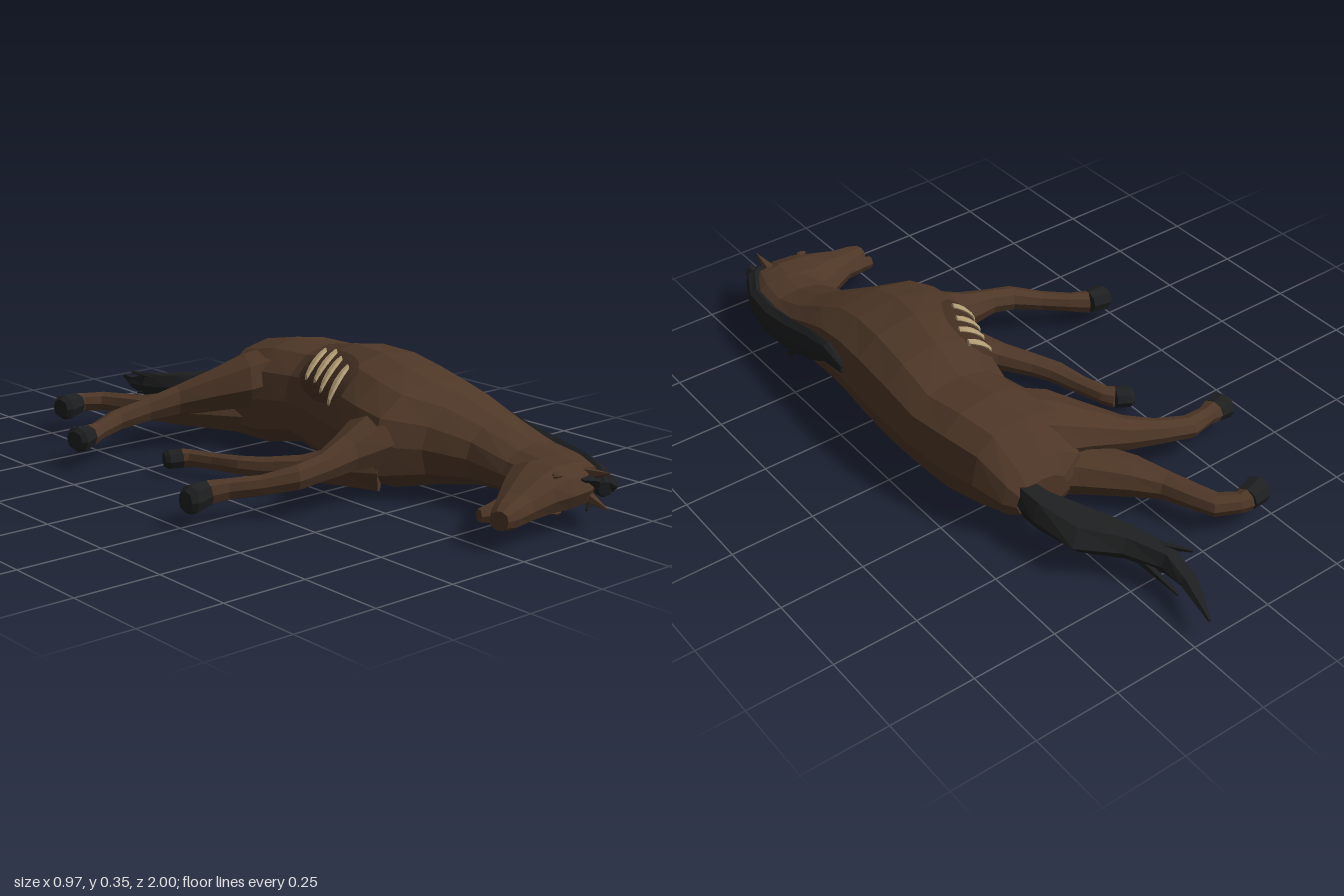
import * as THREE from 'three';

const mat = (name, color, side = THREE.FrontSide) => {
  const m = new THREE.MeshStandardMaterial({ color, flatShading: true, side });
  m.name = name;
  return m;
};
const squash = (v, p) => Math.sign(v) * Math.abs(v) ** p;

// Unit cross-sections: a slightly boxy round, and one leaning over for the slumped trunk
const round = (t) => [squash(Math.cos(t), 0.9), squash(Math.sin(t), 0.9)];
const slumped = (t) => {
  const c = Math.cos(t), s = Math.sin(t), p = c * s > 0 ? 0.75 : 1;
  return [squash(c, p), squash(s, p)];
};

// Skin through rings [x, y, z, half width, half height]; rings face along the path or a fixed direction
function loft(rows, sides = 8, section = round, dir = null) {
  const pos = [], idx = [], n = rows.length;
  rows.forEach(([x, y, z, a, b], i) => {
    const p = rows[Math.max(i - 1, 0)], q = rows[Math.min(i + 1, n - 1)];
    const [dx, dz] = dir || [q[0] - p[0], q[2] - p[2]];
    const len = Math.hypot(dx, dz) || 1;
    for (let j = 0; j < sides; j++) {
      const [u, v] = section((j / sides) * Math.PI * 2);
      pos.push(x + (dz / len) * u * a, y + v * b, z - (dx / len) * u * a);
    }
  });
  for (let i = 0; i < n - 1; i++) for (let j = 0; j < sides; j++) {
    const k = (j + 1) % sides, A = i * sides, B = A + sides;
    idx.push(A + j, A + k, B + k, A + j, B + k, B + j);
  }
  const s = n * sides, last = (n - 1) * sides;
  pos.push(...rows[0].slice(0, 3), ...rows[n - 1].slice(0, 3));
  for (let j = 0; j < sides; j++) {
    const k = (j + 1) % sides;
    idx.push(s, k, j, s + 1, last + j, last + k);
  }
  const g = new THREE.BufferGeometry();
  g.setAttribute('position', new THREE.Float32BufferAttribute(pos, 3));
  g.setIndex(idx);
  g.computeVertexNormals();
  return g;
}

// Torso and neck outline: z, x min, x max, y min, y max
const trunk = [
  [-0.42, 0.20, 0.37, 0.07, 0.18],
  [-0.39, 0.12, 0.395, 0.04, 0.22],
  [-0.31, 0.08, 0.435, 0.012, 0.31],
  [-0.20, 0.10, 0.465, 0.004, 0.33],
  [-0.08, 0.13, 0.482, 0.028, 0.325],
  [0.05, 0.10, 0.482, 0.012, 0.352],
  [0.20, 0.05, 0.475, 0.01, 0.355],
  [0.32, 0.02, 0.465, 0.018, 0.338],
  [0.42, 0.02, 0.46, 0.022, 0.315],
  [0.50, 0.13, 0.455, 0.035, 0.28],
  [0.60, 0.20, 0.455, 0.05, 0.23],
  [0.72, 0.215, 0.455, 0.055, 0.187],
  [0.82, 0.22, 0.435, 0.055, 0.18],
  [0.91, 0.27, 0.385, 0.07, 0.165],
].map(([z, x0, x1, y0, y1]) => [(x0 + x1) / 2, (y0 + y1) / 2, z, (x1 - x0) / 2, (y1 - y0) / 2]);

// Point on the trunk at z and angle, lifted outwards
function onTrunk(z, deg, lift) {
  let i = 0;
  while (i < trunk.length - 2 && trunk[i + 1][2] < z) i++;
  const f = (z - trunk[i][2]) / (trunk[i + 1][2] - trunk[i][2]);
  const [x, y, , a, b] = trunk[i].map((v, k) => v + (trunk[i + 1][k] - v) * f);
  const [u, v] = slumped(THREE.MathUtils.degToRad(deg));
  return [x + (a + lift) * u, y + (b + lift) * v, z];
}

export function createModel() {
  const group = new THREE.Group();
  const coat = mat('brown coat', 0x4e3727);
  const hair = mat('black hair and hooves', 0x1e1f20);
  const bone = mat('pale bone', 0xb59f77);
  const flesh = mat('dark flesh', 0x432e21, THREE.DoubleSide);
  const add = (name, geo, m) => {
    const mesh = new THREE.Mesh(geo, m);
    mesh.name = name;
    group.add(mesh);
    return mesh;
  };

  add('body', loft(trunk, 12, slumped, [0, 1]), coat);

  // Head, from the poll to the muzzle
  add('head', loft([
    [0.38, 0.12, 0.86, 0.06, 0.045],
    [0.31, 0.118, 0.85, 0.105, 0.062],
    [0.23, 0.115, 0.842, 0.113, 0.064],
    [0.16, 0.108, 0.862, 0.083, 0.055],
    [0.09, 0.095, 0.88, 0.057, 0.042],
    [0.04, 0.088, 0.897, 0.042, 0.037],
    [0.005, 0.085, 0.908, 0.026, 0.026],
  ], 10), coat);
  add('lowerLip', loft([
    [0.10, 0.09, 0.845, 0.028, 0.03],
    [0.04, 0.085, 0.85, 0.022, 0.026],
    [0.0, 0.084, 0.843, 0.013, 0.018],
  ], 6), coat);
  for (const s of [-1, 1]) {
    const ear = add('ear', new THREE.ConeGeometry(0.02, 0.085, 5), coat);
    ear.position.set(0.325, 0.118 + s * 0.04, 0.955);
    ear.rotation.set(Math.PI / 2 - s * 0.25, 0, 0);
    const brow = add('brow', new THREE.SphereGeometry(0.016, 6, 4), coat);
    brow.scale.set(1.2, 0.5, 0.7);
    brow.position.set(0.215, 0.115 + s * 0.05, 0.91);
  }

  // Legs: the last two rings make the hoof
  const legs = {
    upperFrontLeg: [
      [0.17, 0.20, 0.36, 0.11, 0.10], [0.06, 0.17, 0.37, 0.085, 0.078],
      [-0.04, 0.148, 0.375, 0.054, 0.052], [-0.13, 0.13, 0.385, 0.037, 0.038],
      [-0.21, 0.115, 0.375, 0.037, 0.035], [-0.29, 0.098, 0.325, 0.028, 0.029],
      [-0.36, 0.09, 0.275, 0.027, 0.03], [-0.412, 0.083, 0.25, 0.033, 0.035],
      [-0.468, 0.076, 0.252, 0.039, 0.041]],
    lowerFrontLeg: [
      [0.10, 0.09, 0.37, 0.085, 0.075], [0.03, 0.085, 0.29, 0.06, 0.06],
      [-0.04, 0.07, 0.20, 0.042, 0.038], [-0.10, 0.062, 0.11, 0.035, 0.031],
      [-0.13, 0.06, 0.05, 0.034, 0.028], [-0.155, 0.055, -0.04, 0.026, 0.025],
      [-0.18, 0.053, -0.115, 0.028, 0.026], [-0.20, 0.051, -0.14, 0.033, 0.029],
      [-0.237, 0.05, -0.157, 0.037, 0.028]],
    upperHindLeg: [
      [0.24, 0.225, -0.23, 0.11, 0.09], [0.14, 0.20, -0.275, 0.11, 0.085],
      [0.05, 0.175, -0.325, 0.075, 0.065], [-0.04, 0.15, -0.375, 0.047, 0.047],
      [-0.13, 0.13, -0.405, 0.036, 0.036], [-0.23, 0.11, -0.425, 0.035, 0.031],
      [-0.31, 0.095, -0.405, 0.027, 0.027], [-0.35, 0.09, -0.395, 0.036, 0.032],
      [-0.392, 0.087, -0.388, 0.044, 0.038]],
    lowerHindLeg: [
      [0.20, 0.10, -0.28, 0.10, 0.08], [0.11, 0.10, -0.37, 0.082, 0.066],
      [0.02, 0.095, -0.48, 0.06, 0.052], [-0.03, 0.09, -0.56, 0.039, 0.038],
      [-0.06, 0.09, -0.64, 0.036, 0.033], [-0.085, 0.09, -0.70, 0.036, 0.03],
      [-0.14, 0.09, -0.732, 0.029, 0.028], [-0.165, 0.09, -0.732, 0.035, 0.032],
      [-0.22, 0.088, -0.72, 0.041, 0.04]],
  };
  for (const [name, rows] of Object.entries(legs)) {
    add(name, loft(rows.slice(0, -1), 8), coat);
    const [top, rim] = rows.slice(-2);
    const sole = rim.map((v, k) => (k < 3 ? v + (v - top[k]) * 0.3 : v * 0.72));
    add(name + 'Hoof', loft([top, rim, sole], 8), hair);
  }

  // Tail with loose ends
  add('tail', loft([
    [0.335, 0.135, -0.38, 0.035, 0.052], [0.32, 0.125, -0.47, 0.05, 0.053],
    [0.27, 0.108, -0.58, 0.08, 0.047], [0.20, 0.10, -0.68, 0.05, 0.042],
    [0.155, 0.09, -0.79, 0.035, 0.038], [0.16, 0.08, -0.87, 0.026, 0.02],
    [0.205, 0.07, -1.0, 0.004, 0.005],
  ], 6), hair);
  for (const [x, y, z] of [[0.115, 0.13, -0.83], [0.185, 0.04, -0.86], [0.13, 0.06, -0.82]]) {
    add('tailLock', loft([[0.21, 0.10, -0.65, 0.02, 0.025], [x, y, z, 0.004, 0.004]], 5), hair);
  }

  // Mane along the crest, with pointed locks hanging to the ground side
  add('mane', loft([
    [0.46, 0.21, 0.27, 0.012, 0.015], [0.456, 0.215, 0.36, 0.02, 0.036],
    [0.45, 0.175, 0.47, 0.023, 0.056], [0.448, 0.143, 0.58, 0.027, 0.061],
    [0.446, 0.128, 0.70, 0.028, 0.053], [0.428, 0.12, 0.82, 0.026, 0.048],
    [0.375, 0.118, 0.92, 0.03, 0.042], [0.335, 0.118, 0.97, 0.018, 0.02],
  ], 8), hair);
  for (const [x, y, z, tx, ty, tz] of [
    [0.44, 0.14, 0.55, 0.45, 0.06, 0.60], [0.43, 0.12, 0.70, 0.40, 0.05, 0.75],
    [0.38, 0.12, 0.90, 0.30, 0.06, 0.94], [0.37, 0.12, 0.92, 0.27, 0.15, 0.945],
    [0.36, 0.12, 0.93, 0.345, 0.13, 1.0],
  ]) {
    add('maneLock', loft([[x, y, z, 0.03, 0.03],
      [(x + tx) / 2 + 0.01, (y + ty) / 2, (z + tz) / 2, 0.022, 0.022],
      [tx, ty, tz, 0.003, 0.003]], 5), hair);
  }

  // Open flank: a thin dark patch with exposed ribs
  const pos = [], idx = [], steps = 8;
  for (let i = 0; i <= steps; i++) {
    const z = -0.02 + 0.27 * i / steps;
    const half = 10 + 17 * Math.sqrt(Math.abs(Math.sin((Math.PI * i) / steps)));
    for (let j = 0; j <= steps; j++) pos.push(...onTrunk(z, 138 - half + 2 * half * j / steps, 0.007));
  }
  for (let i = 0; i < steps; i++) for (let j = 0; j < steps; j++) {
    const a = i * (steps + 1) + j, b = a + steps + 1;
    idx.push(a, a + 1, b + 1, a, b + 1, b);
  }
  const patch = new THREE.BufferGeometry();
  patch.setAttribute('position', new THREE.Float32BufferAttribute(pos, 3));
  patch.setIndex(idx);
  patch.computeVertexNormals();
  add('woundPatch', patch, flesh);
  for (const [z, d0, d1] of [[0.02, 117, 150], [0.075, 116, 150], [0.13, 121, 155], [0.195, 126, 160]]) {
    const rows = [0, 1, 2, 3, 4].map((k) => {
      const f = k / 4, p = onTrunk(z + 0.01 * f, d0 + (d1 - d0) * f, 0.009);
      return [...p, 0.006 + 0.007 * Math.sin(Math.PI * f), 0.011];
    });
    add('rib', loft(rows, 6, round, [-1, 0]), bone);
  }

  return group;
}
